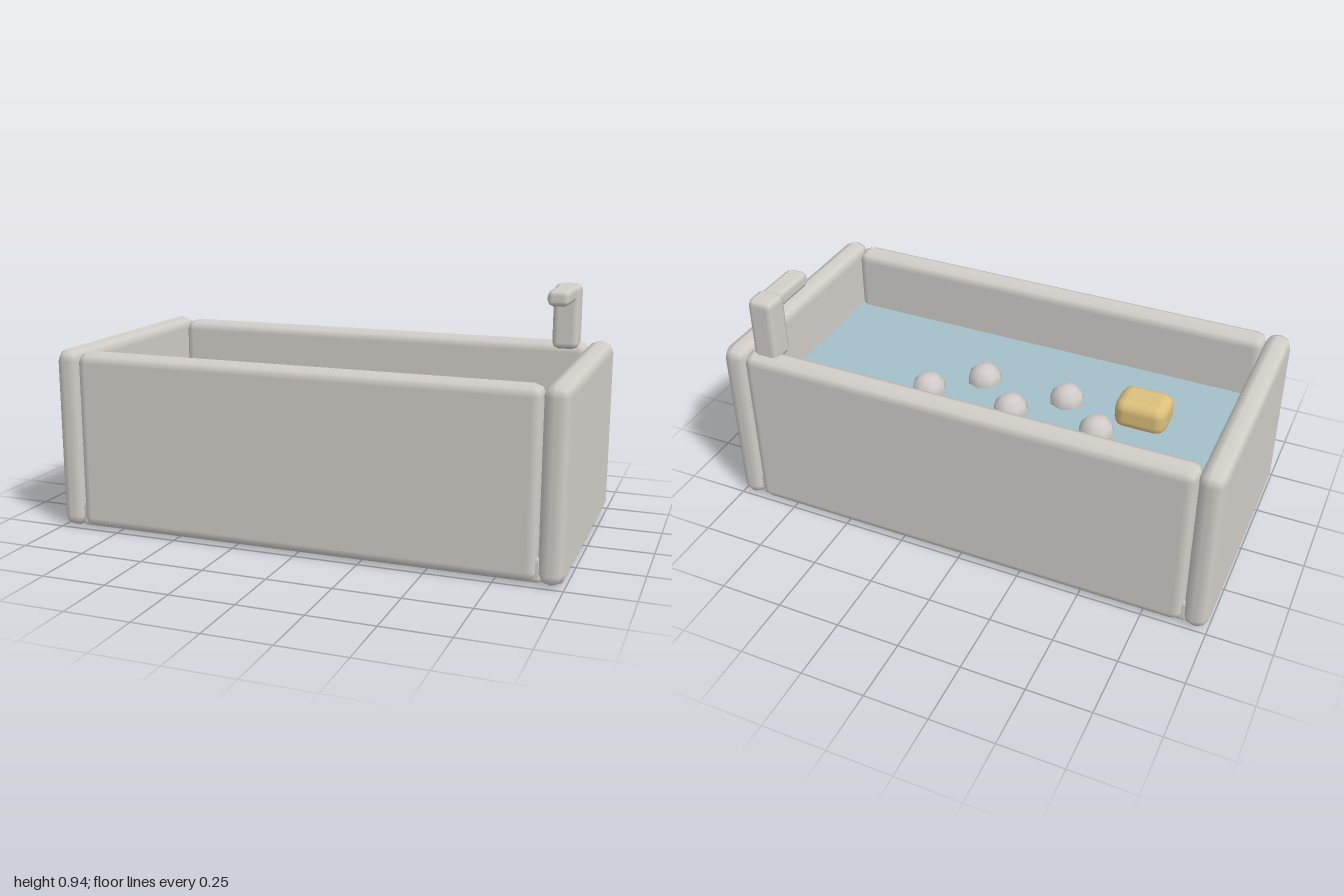
import * as THREE from 'three';
import { RoundedBoxGeometry } from 'three/addons/geometries/RoundedBoxGeometry.js';

const material = (name, color) => new THREE.MeshStandardMaterial({ name, color });

export function createModel() {
  const group = new THREE.Group();
  const enamel = material('enamel', 0xd2cfc9);
  const foam = material('foam', 0xd0cbc9);
  const waterBlue = material('waterBlue', 0xa4c0cb);
  const soapYellow = material('soapYellow', 0xdcc07c);

  const add = (name, geometry, mat, x, y, z) => {
    const mesh = new THREE.Mesh(geometry, mat);
    mesh.name = name;
    mesh.position.set(x, y, z);
    group.add(mesh);
    return mesh;
  };
  // Soft-edged block given by its size, edge radius and centre
  const block = (name, mat, [w, h, d], r, [x, y, z], segments = 1) =>
    add(name, new RoundedBoxGeometry(w, h, d, segments, r), mat, x, y, z);

  // Tub: floor, two end walls and two long walls
  block('tubFloor', enamel, [1.84, 0.1, 0.96], 0.02, [0, 0.055, 0]);
  for (const s of [1, -1]) {
    block(s > 0 ? 'leftEndWall' : 'rightEndWall', enamel, [0.1, 0.715, 1], 0.045, [s * 0.95, 0.3575, 0]);
    block(s > 0 ? 'frontWall' : 'backWall', enamel, [1.81, 0.7, 0.105], 0.04, [0, 0.357, s * 0.4475]);
  }

  // Bath water
  add('water', new THREE.BoxGeometry(1.81, 0.36, 0.82), waterBlue, 0, 0.27, 0);

  // Bubbles in a zigzag row, half sunk in the water
  for (let i = 0; i < 5; i++) {
    add('bubble', new THREE.SphereGeometry(0.072, 8, 6), foam, -0.4 + i * 0.18, 0.45, i % 2 ? 0.07 : -0.08);
  }

  // Floating bar of soap
  block('soap', soapYellow, [0.21, 0.13, 0.16], 0.045, [-0.54, 0.495, 0.07], 2);

  // Tap on the back rim
  block('tapPost', enamel, [0.105, 0.26, 0.105], 0.025, [0.8175, 0.815, -0.4125]);
  block('tapSpout', enamel, [0.086, 0.063, 0.21], 0.022, [0.8175, 0.911, -0.285]);

  return group;
}
